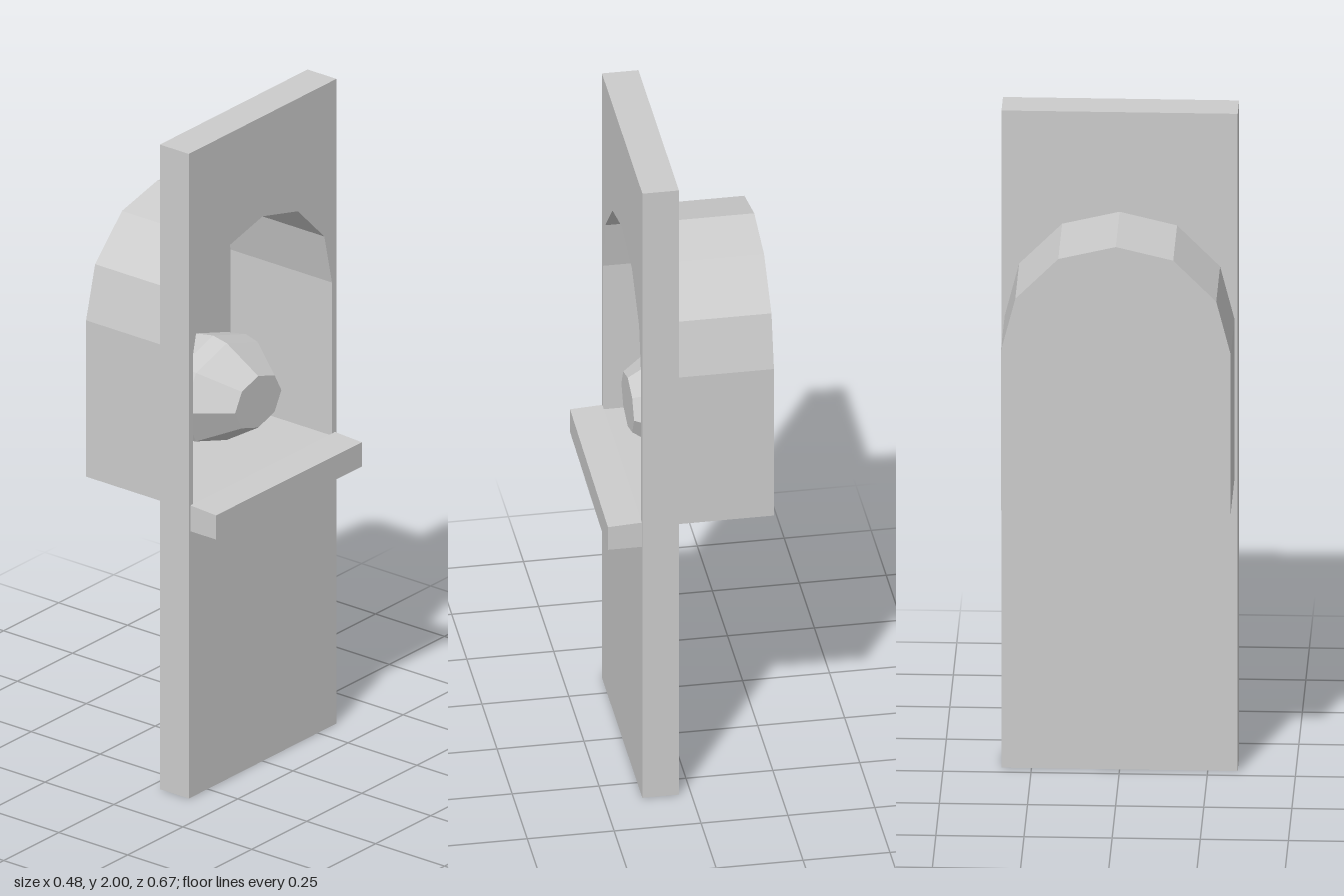
import * as THREE from 'three';

const material = new THREE.MeshStandardMaterial({ color: 0xcccccc, flatShading: true });

// Faceted arch outline: a flat floor, straight sides and a six-sided top
function archPoints(floor, half) {
  const side = [[half[0], floor], [half[0], half[1]], [half[2], half[3]], [half[4], half[5]]];
  const mirrored = side.map(([z, y]) => [-z, y]).reverse();
  return [...side, [0, half[6]], ...mirrored].map(([z, y]) => new THREE.Vector2(z, y));
}

// Extrude a side-facing outline along +x between two positions
function extrudeAlongX(shape, x0, x1) {
  const geometry = new THREE.ExtrudeGeometry(shape, { depth: x1 - x0, bevelEnabled: false });
  return geometry.rotateY(Math.PI / 2).translate(x0, 0, 0);
}

export function createModel() {
  const model = new THREE.Group();
  const add = (name, geometry) => {
    const mesh = new THREE.Mesh(geometry, material);
    mesh.name = name;
    model.add(mesh);
    return mesh;
  };

  const outer = archPoints(0.89, [0.326, 1.375, 0.285, 1.535, 0.163, 1.658, 1.697]);
  const inner = archPoints(0.9, [0.315, 1.375, 0.28, 1.53, 0.16, 1.65, 1.69]);

  // Tall slab with an arched opening
  const slab = new THREE.Shape([[-0.335, 0], [0.335, 0], [0.335, 2], [-0.335, 2]]
    .map(([z, y]) => new THREE.Vector2(z, y)));
  slab.holes.push(new THREE.Path(inner));
  add('slab', extrudeAlongX(slab, 0.035, 0.14));

  // Thin alcove walls behind the opening, closed by a back plate
  const walls = new THREE.Shape(outer);
  walls.holes.push(new THREE.Path(inner));
  add('alcoveWalls', extrudeAlongX(walls, -0.228, 0.035));
  add('alcoveBack', extrudeAlongX(new THREE.Shape(outer), -0.24, -0.228));

  // Sill, its outer edge very slightly skewed
  const sill = new THREE.BoxGeometry(0.095, 0.08, 0.656).translate(0.1875, 0.867, 0);
  const p = sill.attributes.position;
  for (let i = 0; i < p.count; i++) {
    if (p.getX(i) < 0.2) continue;
    p.setX(i, p.getZ(i) < 0 ? 0.238 : 0.233);
    if (p.getY(i) > 0.867) p.setY(i, 0.902);
  }
  sill.computeVertexNormals();
  add('sill', sill);

  // Eight-sided faceted stone inside the alcove, its flat face outward
  const profile = [[0, -0.2], [0.105, -0.2], [0.197, -0.1], [0.21, -0.04], [0.197, 0.01], [0.105, 0.124], [0, 0.124]]
    .map(([r, x]) => new THREE.Vector2(r, x));
  const stone = new THREE.LatheGeometry(profile, 8);
  stone.rotateZ(-Math.PI / 2).scale(1, 0.16 / 0.21, 1).translate(0, 1.11, 0);
  add('facetedStone', stone);

  return model;
}
